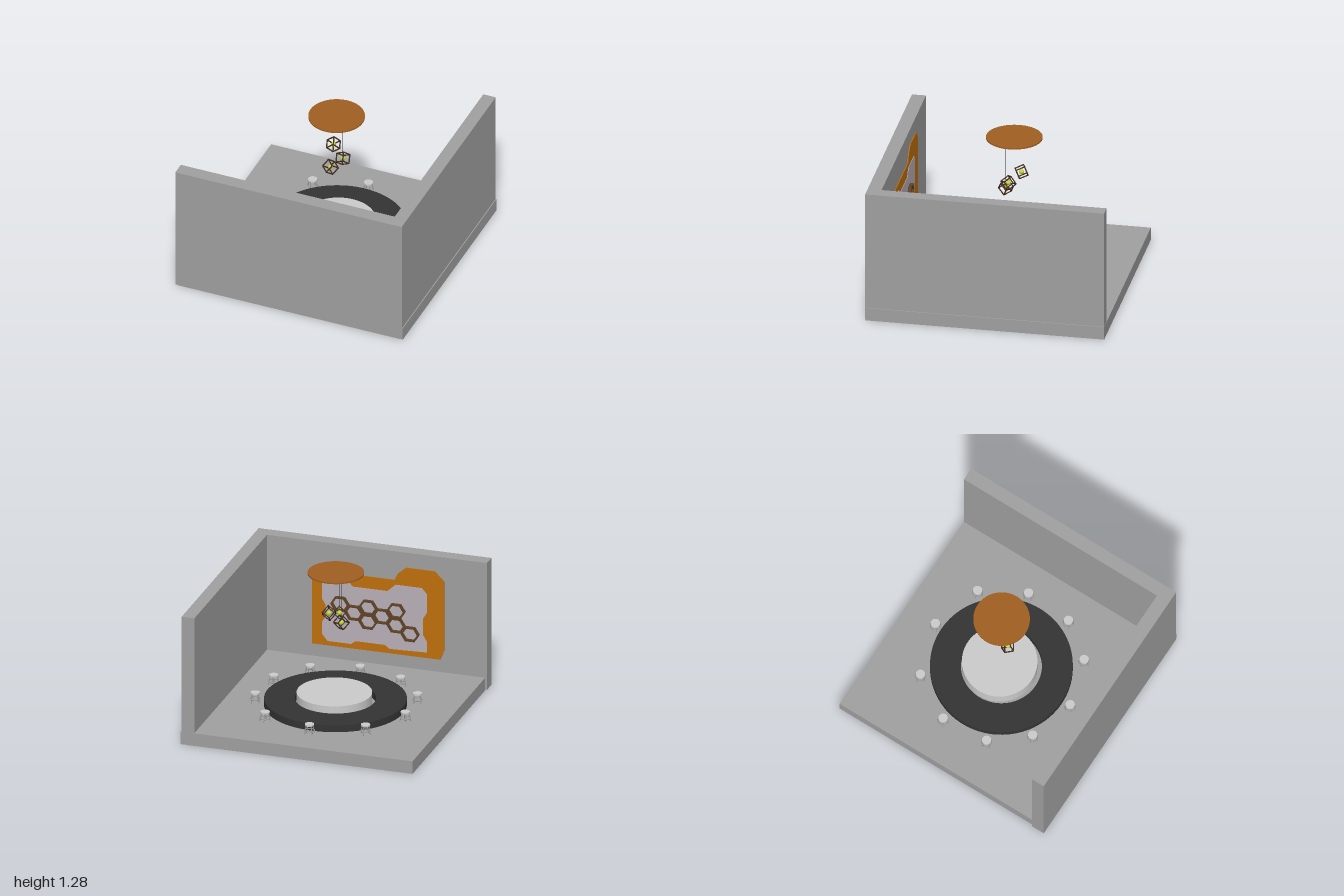
import * as THREE from 'three';

const mat = (color, extra = {}) => new THREE.MeshStandardMaterial({ color, ...extra });
const M = {
  wall: mat(0xa0a0a0), light: mat(0xcccccc), black: mat(0x343434),
  wood: mat(0xa05f20), orange: mat(0xc0700c), pale: mat(0xb8b0b8),
  brown: mat(0x5e4227), dark: mat(0x45301f), bulb: mat(0xc4d838), cable: mat(0x444444),
};
const FLOOR = 0.11;

function add(parent, name, geo, material, x = 0, y = 0, z = 0) {
  const m = new THREE.Mesh(geo, material);
  m.name = name;
  m.position.set(x, y, z);
  parent.add(m);
  return m;
}

// Box given by its limits on each axis
function slab(parent, name, x0, x1, y0, y1, z0, z1, material) {
  return add(parent, name, new THREE.BoxGeometry(x1 - x0, y1 - y0, z1 - z0), material,
    (x0 + x1) / 2, (y0 + y1) / 2, (z0 + z1) / 2);
}

// Round bar between two points
function bar(parent, name, a, b, r, material, sides = 8) {
  const d = b.clone().sub(a);
  const m = add(parent, name, new THREE.CylinderGeometry(r, r, d.length(), sides), material);
  m.position.copy(a).add(b).multiplyScalar(0.5);
  m.quaternion.setFromUnitVectors(new THREE.Vector3(0, 1, 0), d.normalize());
  return m;
}

const extrude = (shape, depth, curveSegments = 12) =>
  new THREE.ExtrudeGeometry(shape, { depth, bevelEnabled: false, curveSegments });
const outline = pts => new THREE.Shape(pts.map(p => new THREE.Vector2(...p)));

function makeStool() {
  const g = new THREE.Group();
  g.name = 'stool';
  add(g, 'stoolSeat', new THREE.CylinderGeometry(0.038, 0.038, 0.013, 24), M.light, 0, 0.079, 0);
  const ring = add(g, 'footRing', new THREE.TorusGeometry(0.041, 0.004, 6, 28), M.wall, 0, 0.028, 0);
  ring.rotation.x = Math.PI / 2;
  for (let i = 0; i < 4; i++) {
    const a = Math.PI / 4 + i * Math.PI / 2, c = Math.cos(a), s = Math.sin(a);
    bar(g, 'stoolLeg', new THREE.Vector3(0.044 * c, 0, 0.044 * s),
      new THREE.Vector3(0.029 * c, 0.075, 0.029 * s), 0.004, M.wall, 6);
  }
  return g;
}

// Open wire cube with a bulb inside
function makeCubeLamp(size) {
  const g = new THREE.Group();
  g.name = 'cubeLamp';
  const h = size / 2, t = 0.008;
  for (const axis of [0, 1, 2]) for (const u of [-h, h]) for (const v of [-h, h]) {
    const dims = [t, t, t], pos = [0, 0, 0];
    dims[axis] = size + t;
    pos[(axis + 1) % 3] = u;
    pos[(axis + 2) % 3] = v;
    add(g, 'cubeEdge', new THREE.BoxGeometry(...dims), M.dark, ...pos);
  }
  add(g, 'bulb', new THREE.SphereGeometry(0.02, 16, 12), M.bulb);
  return g;
}

export function createModel() {
  const model = new THREE.Group();
  model.name = 'room';

  // Floor and two walls
  slab(model, 'floor', -0.985, 1, 0, FLOOR, -0.99, 0.985, M.wall);
  slab(model, 'frontWall', -1, 0.99, 0.005, 1.12, 0.873, 0.988, M.wall);
  slab(model, 'sideWall', 0.883, 0.992, 0.005, 1.12, -0.988, 0.986, M.wall);

  // Ring table around a round platform
  const ring = new THREE.Shape().absarc(0, 0, 0.58, 0, Math.PI * 2);
  ring.holes.push(new THREE.Path().absarc(0, 0, 0.33, 0, Math.PI * 2, true));
  const table = add(model, 'ringTable', extrude(ring, 0.06, 48), M.black, -0.013, FLOOR, -0.053);
  table.rotation.x = -Math.PI / 2;
  add(model, 'platform', new THREE.CylinderGeometry(0.307, 0.307, 0.12, 64), M.light,
    -0.01, FLOOR + 0.06, -0.072);

  // Stools around the table
  const seats = [[-0.005, -0.695], [0.42, -0.56], [0.625, -0.2], [0.6, 0.2], [0.385, 0.49],
    [-0.005, 0.605], [-0.39, 0.49], [-0.63, 0.2], [-0.66, -0.2], [-0.44, -0.56]];
  for (const [x, z] of seats) {
    const s = makeStool();
    s.position.set(x, FLOOR, z);
    s.rotation.y = Math.atan2(x, z);
    model.add(s);
  }

  // Hanging lamp: disc, cables and wire cubes
  add(model, 'lampDisc', new THREE.CylinderGeometry(0.23, 0.23, 0.012, 64), M.wood, -0.015, 1.27, -0.05);
  const lamps = [[-0.064, 0.945, -0.1, 0.4, 0.3, 0.6], [0.055, 0.893, -0.015, 0.7, 0.2, 0.5],
    [-0.038, 0.807, 0.024, 0.3, 0.8, 0.7]];
  for (const [x, y, z, rx, ry, rz] of lamps) {
    const cube = makeCubeLamp(0.075);
    cube.position.set(x, y, z);
    cube.rotation.set(rx, ry, rz);
    model.add(cube);
    bar(model, 'cable', new THREE.Vector3(x, y + 0.02, z), new THREE.Vector3(x, 1.265, z), 0.0015, M.cable, 6);
  }

  // Wall board: orange backing with a pale panel
  const backing = outline([[0.495, 0.22], [0.495, 0.8], [0.44, 0.87], [-0.21, 0.87], [-0.24, 0.93],
    [-0.31, 0.99], [-0.555, 0.99], [-0.636, 0.91], [-0.636, 0.3], [-0.6, 0.22]]);
  add(model, 'boardBacking', extrude(backing, 0.008), M.orange, 0, 0, 0.866);
  const panel = outline([[0.41, 0.32], [0.41, 0.42], [0.38, 0.47], [0.38, 0.58], [0.41, 0.63],
    [0.41, 0.76], [0.37, 0.81], [0.19, 0.81], [0.145, 0.765], [-0.15, 0.765], [-0.22, 0.83],
    [-0.445, 0.83], [-0.49, 0.78], [-0.49, 0.62], [-0.455, 0.56], [-0.455, 0.42], [-0.49, 0.36],
    [-0.49, 0.27], [-0.17, 0.26], [-0.13, 0.29], [0.12, 0.29], [0.16, 0.26], [0.36, 0.26]]);
  add(model, 'boardPanel', extrude(panel, 0.006), M.pale, 0, 0, 0.862);

  // Hexagon frames in a honeycomb: column, half-row
  const hex = r => [0, 1, 2, 3, 4, 5].map(i =>
    new THREE.Vector2(r * Math.cos(i * Math.PI / 3), 0.9 * r * Math.sin(i * Math.PI / 3)));
  const frame = new THREE.Shape(hex(0.08));
  frame.holes.push(new THREE.Path(hex(0.062).reverse()));
  const frameGeo = extrude(frame, 0.03);
  for (const [c, r] of [[0, 0], [1, 1], [2, 0], [2, 2], [3, 1], [4, 0], [4, 2], [5, 3]])
    add(model, 'hexFrame', frameGeo, M.brown, 0.25 - 0.12 * c, 0.605 - 0.062 * r, 0.835);

  return model;
}
